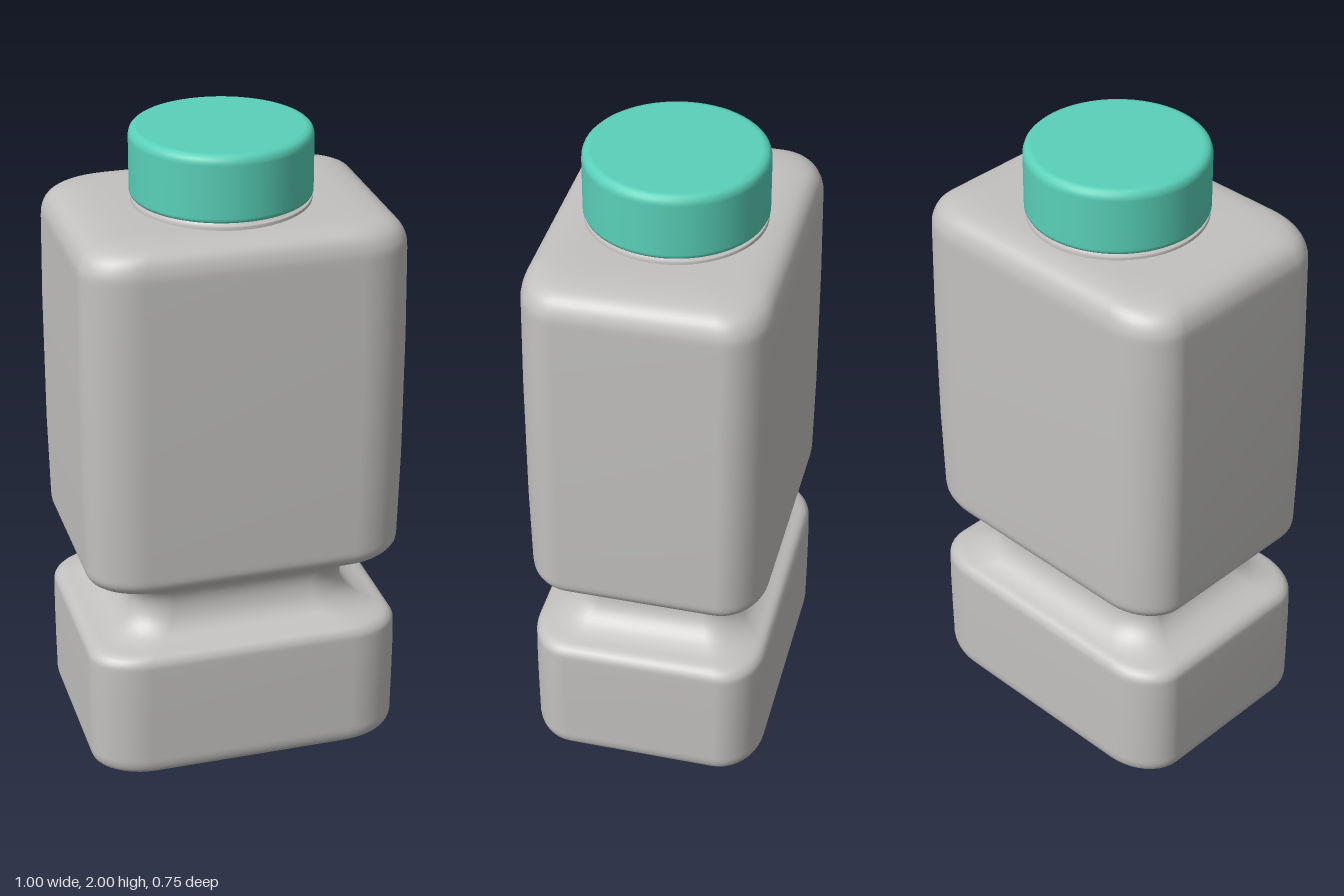
import * as THREE from 'three';

const HX = 0.495, HZ = 0.37; // half width and half depth of the bottle

// Rounded rectangle in the xz plane, counted from +x towards +z
function roundedRect(hx, hz, rx, rz, steps) {
  const pts = [];
  const corners = [[1, 1], [-1, 1], [-1, -1], [1, -1]];
  corners.forEach(([sx, sz], k) => {
    for (let i = 0; i <= steps; i++) {
      const a = (k + i / steps) * Math.PI / 2;
      pts.push([sx * (hx - rx) + rx * Math.cos(a), sz * (hz - rz) + rz * Math.sin(a)]);
    }
  });
  return pts;
}

// Stacks scaled copies of the outline along a [half width, y] profile
function loft(profile, outline) {
  const n = outline.length, pos = [], index = [];
  profile.forEach(({ x, y }) => outline.forEach(([ox, oz]) => pos.push(ox * x / HX, y, oz * x / HX)));
  for (let i = 0; i < profile.length - 1; i++) {
    for (let j = 0; j < n; j++) {
      const k = (j + 1) % n;
      const a = i * n + j, b = a + n, c = i * n + k, d = c + n;
      index.push(a, b, c, c, b, d);
    }
  }
  const geo = new THREE.BufferGeometry();
  geo.setAttribute('position', new THREE.Float32BufferAttribute(pos, 3));
  geo.setIndex(index);
  geo.computeVertexNormals();
  return geo;
}

const lathe = (pts) => new THREE.LatheGeometry(pts.map(([x, y]) => new THREE.Vector2(x, y)), 64);

export function createModel() {
  const group = new THREE.Group();
  const grey = new THREE.MeshStandardMaterial({ color: 0xc2c1bf });
  grey.name = 'grey plastic';
  const teal = new THREE.MeshStandardMaterial({ color: 0x59d0b8 });
  teal.name = 'teal plastic';

  const add = (name, geometry, material) => {
    const mesh = new THREE.Mesh(geometry, material);
    mesh.name = name;
    group.add(mesh);
  };

  // Bottle: recessed base, lower block, pinched waist, tall upper block, shoulder
  const profile = [
    [0.001, 0.06], [0.18, 0.06], [0.21, 0.055], [0.235, 0.035], [0.26, 0.012], [0.30, 0.001],
    [0.34, 0.001], [0.43, 0.006], [0.465, 0.014], [0.485, 0.03], [0.494, 0.055], [HX, 0.09],
    [HX, 0.39], [0.492, 0.415], [0.475, 0.435], [0.43, 0.449], [0.385, 0.47], [0.352, 0.505],
    [0.339, 0.55], [0.347, 0.59], [0.375, 0.625], [0.43, 0.65], [0.47, 0.665], [0.49, 0.69],
    [HX, 0.72], [HX, 1.67], [0.491, 1.705], [0.475, 1.738], [0.445, 1.76], [0.39, 1.772],
    [0.31, 1.776], [0.001, 1.776],
  ].map(([x, y]) => new THREE.Vector3(x, y, 0));
  const smooth = new THREE.CatmullRomCurve3(profile).getPoints((profile.length - 1) * 3);
  add('bottleBody', loft(smooth, roundedRect(HX, HZ, 0.17, 0.13, 10)), grey);

  // Neck with its collar
  add('neck', lathe([[0.27, 1.765], [0.27, 1.783], [0.267, 1.786], [0.246, 1.786], [0.246, 1.81]]), grey);

  // Screw cap with softened rims
  add('cap', lathe([
    [0, 1.796], [0.262, 1.796], [0.27, 1.798], [0.273, 1.805], [0.273, 1.81], [0.273, 1.97],
    [0.2725, 1.978], [0.269, 1.989], [0.262, 1.996], [0.252, 1.9995], [0.245, 2], [0, 2],
  ]), teal);

  return group;
}
